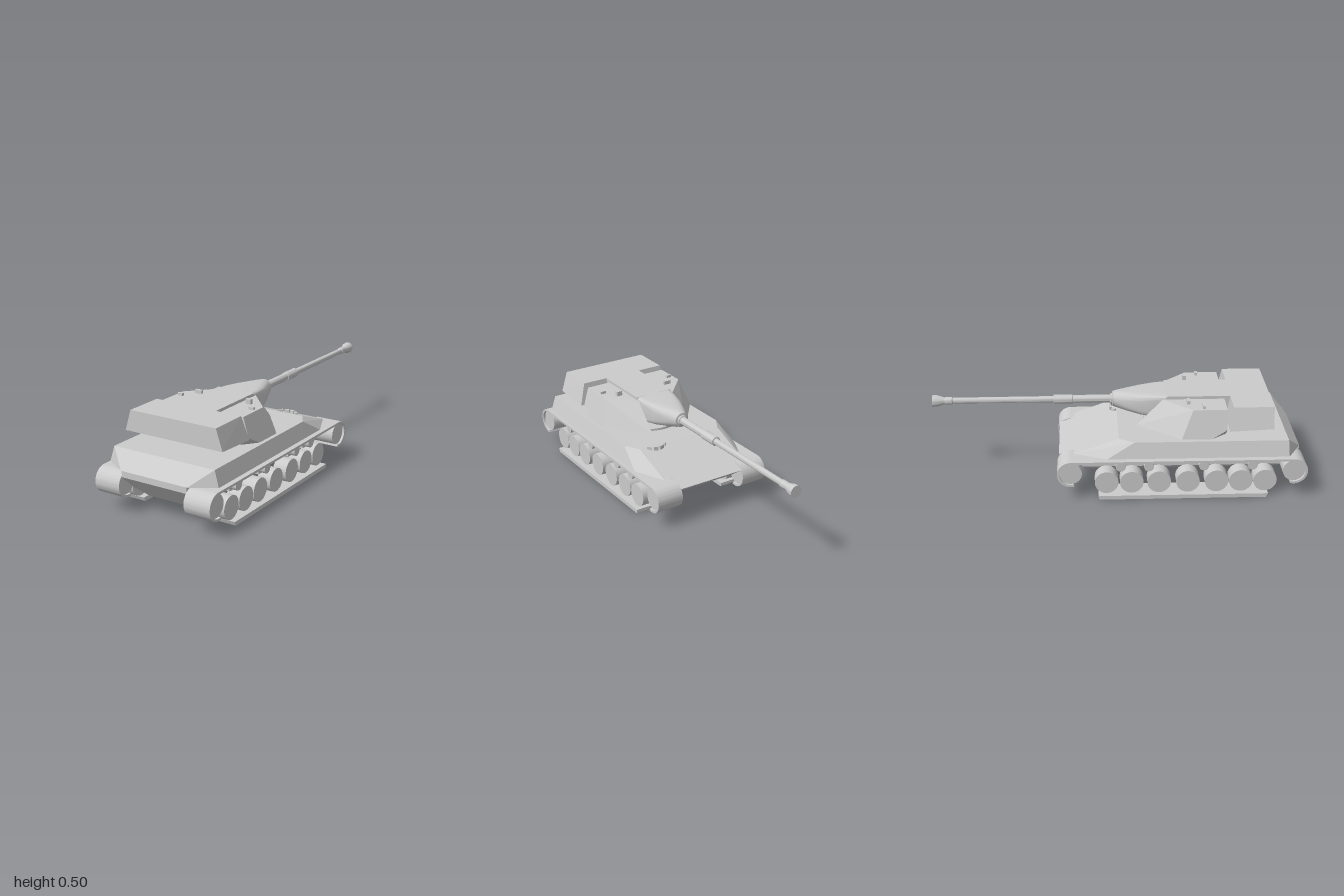
import * as THREE from 'three';
import { toCreasedNormals } from 'three/addons/utils/BufferGeometryUtils.js';
import { ConvexGeometry } from 'three/addons/geometries/ConvexGeometry.js';

const material = new THREE.MeshStandardMaterial({ color: 0xcccccc });

function add(parent, name, geometry, x = 0, y = 0, z = 0) {
  const mesh = new THREE.Mesh(geometry, material);
  mesh.name = name;
  mesh.position.set(x, y, z);
  parent.add(mesh);
  return mesh;
}

// Faceted solid around corner points; side: 0 = mirrored across x, +1 / -1 = one side only
function solid(corners, side = 0) {
  const points = [];
  for (const [x, y, z] of corners) {
    if (side >= 0) points.push(new THREE.Vector3(x, y, z));
    if (side <= 0) points.push(new THREE.Vector3(-x, y, z));
  }
  return new ConvexGeometry(points);
}

// Cylinder lying along x
function wheel(radius, width, sides = 24) {
  return new THREE.CylinderGeometry(radius, radius, width, sides).rotateZ(Math.PI / 2);
}

// Side profile (z, y) extruded across a width centred on x = 0
function slab(shape, width) {
  return new THREE.ExtrudeGeometry(shape, { depth: width, bevelEnabled: false, curveSegments: 16 })
    .rotateY(-Math.PI / 2).translate(width / 2, 0, 0);
}

// Rounded sections [z, half width, bottom, top, squareness] joined into a smooth skin
function loft(sections, sides = 40) {
  const positions = [], index = [];
  const power = (v, n) => Math.sign(v) * Math.abs(v) ** (2 / n);
  sections.forEach(([z, w, y0, y1, n], i) => {
    for (let j = 0; j < sides; j++) {
      const a = (j / sides) * Math.PI * 2;
      positions.push(w * power(Math.cos(a), n), (y0 + y1) / 2 + (y1 - y0) / 2 * power(Math.sin(a), n), z);
      if (i === sections.length - 1) continue;
      const p = i * sides + j, q = i * sides + (j + 1) % sides;
      index.push(p, p + sides, q, q, p + sides, q + sides);
    }
  });
  const geometry = new THREE.BufferGeometry();
  geometry.setAttribute('position', new THREE.Float32BufferAttribute(positions, 3));
  geometry.setIndex(index);
  return toCreasedNormals(geometry, 0.6);
}

function buildHull() {
  const hull = new THREE.Group();
  hull.name = 'hull';
  // Tub between the tracks
  add(hull, 'lowerHull', solid([
    [0.195, 0.233, 0.975], [0.195, 0.2, 0.975], [0.195, 0.12, 0.89], [0.13, 0.073, 0.85],
    [0.13, 0.073, -0.13], [0.195, 0.12, -0.21], [0.195, 0.2, -0.32], [0.195, 0.233, -0.23],
  ]));
  // Superstructure with cut rear corners and sloped nose
  add(hull, 'upperHull', solid([
    [0.303, 0.317, 0.895], [0.2, 0.233, 0.975], [0.328, 0.233, 0.9],
    [0.303, 0.317, 0.08], [0.255, 0.317, 0], [0.328, 0.233, -0.065], [0.25, 0.23, -0.238],
  ]));
  add(hull, 'glacis', solid([
    [0.235, 0.317, 0], [0.235, 0.225, 0], [0.195, 0.2, -0.32], [0.195, 0.19, -0.3],
  ]));
  // Driver's vision blocks on an arc
  for (let i = 0; i < 4; i++) {
    const a = -0.75 + i * 0.5;
    add(hull, 'visionBlock', new THREE.BoxGeometry(0.026, 0.024, 0.012),
      0.155 + 0.07 * Math.sin(a), 0.312, 0.035 - 0.07 * Math.cos(a)).rotation.y = -a;
  }
  return hull;
}

function buildTrack(side) {
  const track = new THREE.Group();
  track.name = side > 0 ? 'leftTrack' : 'rightTrack';
  const x = side * 0.27, rear = 0.928, front = -0.257, y = 0.152, R = 0.0725, r = 0.06;
  const end = 0.25; // wrap past the lowest point of each end

  // Upper run hooking around both end wheels
  const band = new THREE.Shape();
  band.absarc(rear, y, R, -Math.PI / 2 - end, Math.PI / 2, false);
  band.absarc(front, y, R, Math.PI / 2, Math.PI * 1.5 + end, false);
  band.absarc(front, y, r, Math.PI * 1.5 + end, Math.PI / 2, true);
  band.absarc(rear, y, r, Math.PI / 2, -Math.PI / 2 - end, true);
  add(track, 'trackBand', toCreasedNormals(slab(band, 0.15), 0.5), x);

  // Ground run
  const run = new THREE.Shape();
  run.moveTo(-0.11, 0.004);
  run.lineTo(-0.1, 0);
  run.lineTo(0.785, 0);
  run.lineTo(0.795, 0.022);
  run.lineTo(-0.11, 0.022);
  add(track, 'groundRun', slab(run, 0.135), side * 0.2775);

  for (const z of [rear, front]) add(track, 'endWheel', wheel(0.0595, 0.125), x, y, z);
  for (const z of [0.78, 0.65, 0.52, 0.367, 0.213, 0.067, -0.067])
    add(track, 'roadWheel', wheel(0.063, 0.077), side * 0.2785, 0.087, z);
  for (const z of [0.71, 0.45, 0.158, 0.008]) {
    add(track, 'returnRoller', wheel(0.027, 0.12, 16), side * 0.255, 0.178, z);
    add(track, 'rollerBracket', new THREE.BoxGeometry(0.08, 0.03, 0.03), side * 0.23, 0.155, z);
  }
  return track;
}

function buildTurret() {
  const turret = new THREE.Group();
  turret.name = 'turret';
  add(turret, 'turretRing', new THREE.CylinderGeometry(0.207, 0.207, 0.016, 40), 0, 0.321, 0.35);

  // Side cheeks carrying the tilting upper body
  for (const side of [1, -1]) {
    add(turret, side > 0 ? 'leftCheek' : 'rightCheek', solid([
      [0.11, 0.325, 0.1], [0.293, 0.325, 0.33], [0.293, 0.325, 0.49], [0.23, 0.325, 0.57],
      [0.11, 0.325, 0.57], [0.28, 0.37, 0.57], [0.11, 0.474, 0.24], [0.25, 0.474, 0.39],
      [0.25, 0.474, 0.57], [0.11, 0.474, 0.57],
    ], side));
    add(turret, 'periscope', new THREE.BoxGeometry(0.03, 0.02, 0.014), side * 0.22, 0.478, 0.45);
  }
  add(turret, 'hatchSight', new THREE.BoxGeometry(0.032, 0.03, 0.02), 0.158, 0.485, 0.378);
  add(turret, 'hatchBlock', new THREE.BoxGeometry(0.042, 0.024, 0.016), -0.158, 0.482, 0.372);

  // Upper body: wide rear bustle, narrow middle, rounded nose
  add(turret, 'bustle', solid([
    [0.257, 0.49, 0.815], [0.293, 0.378, 0.815], [0.257, 0.49, 0.602], [0.293, 0.367, 0.582],
  ]));
  add(turret, 'upperBody', solid([
    [0.11, 0.49, 0.65], [0.11, 0.357, 0.58], [0.11, 0.49, 0.26], [0.11, 0.357, 0.24],
  ]));
  add(turret, 'turretNose', loft([
    [0.27, 0.11, 0.357, 0.49, 14],
    [0.2, 0.106, 0.359, 0.489, 8],
    [0.12, 0.092, 0.366, 0.487, 4.5],
    [0.05, 0.07, 0.376, 0.484, 3],
    [0.01, 0.054, 0.384, 0.482, 2.3],
    [-0.02, 0.043, 0.392, 0.478, 2],
  ]));
  return turret;
}

function buildGun() {
  // Profile [radius, distance forward]
  const profile = [
    [0, 0], [0.041, 0], [0.041, 0.026], [0.03, 0.028], [0.03, 0.036], [0.022, 0.04],
    [0.021, 0.24], [0.025, 0.242], [0.025, 0.345], [0.017, 0.347], [0.016, 0.89],
    [0.02, 0.895], [0.02, 0.93], [0.018, 0.935], [0.031, 0.975], [0.032, 1], [0, 1],
  ].map(([r, d]) => new THREE.Vector2(r, d));
  return toCreasedNormals(new THREE.LatheGeometry(profile, 28).rotateX(-Math.PI / 2), 0.5);
}

export function createModel() {
  const model = new THREE.Group();
  model.name = 'tank';
  const turret = buildTurret();
  add(turret, 'gun', buildGun(), 0, 0.435, 0);
  model.add(buildHull(), buildTrack(1), buildTrack(-1), turret);
  return model;
}
